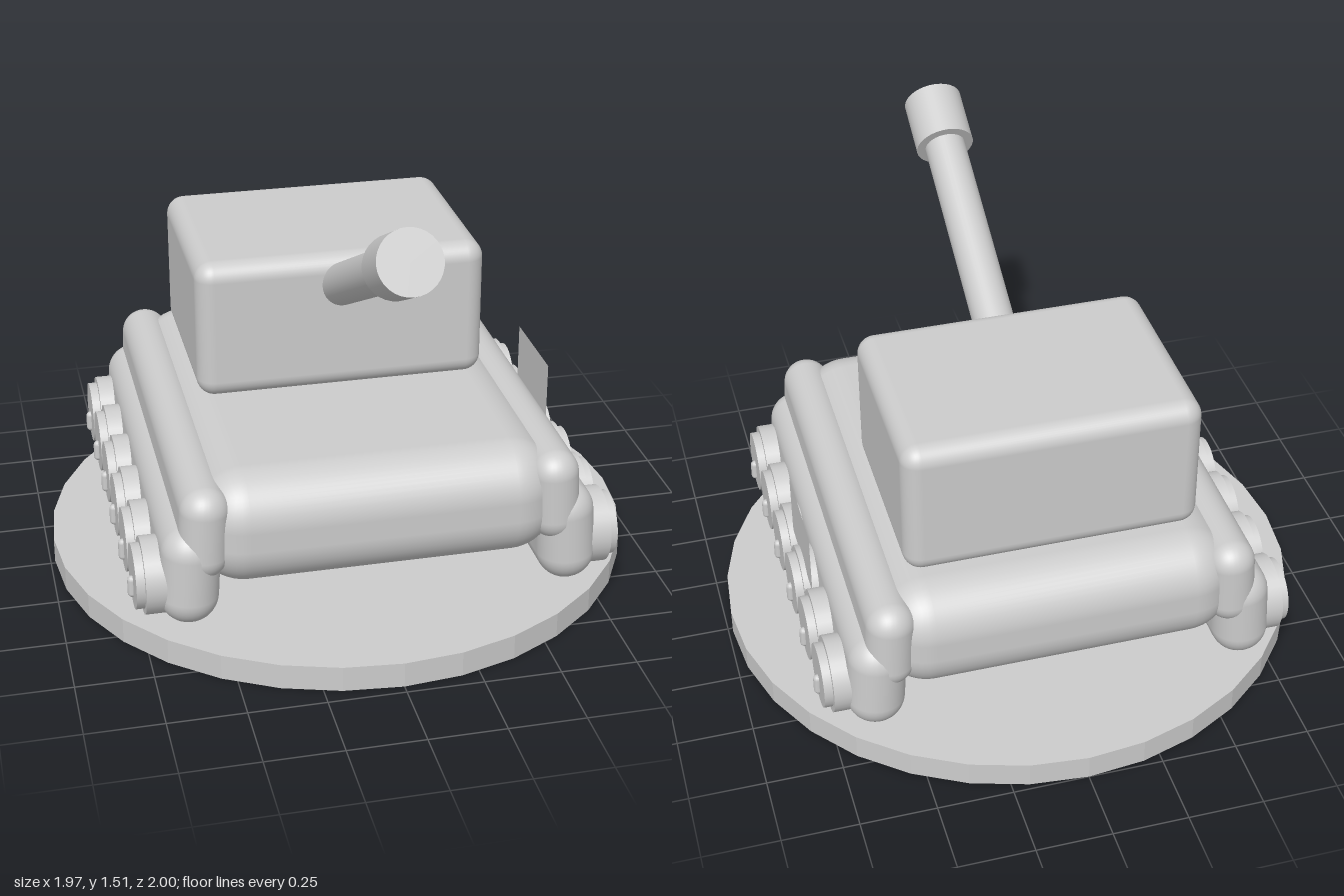
import * as THREE from 'three';
import { RoundedBoxGeometry } from 'three/addons/geometries/RoundedBoxGeometry.js';

export function createModel() {
  const model = new THREE.Group();
  model.name = 'tankOnStand';

  const grey = new THREE.MeshStandardMaterial({ color: 0xcccccc });
  grey.name = 'light grey';
  const greyFlat = new THREE.MeshStandardMaterial({ color: 0xcccccc, flatShading: true });
  greyFlat.name = 'light grey faceted';
  const greySheet = new THREE.MeshStandardMaterial({ color: 0xcccccc, side: THREE.DoubleSide });
  greySheet.name = 'light grey sheet';

  const add = (name, geometry, x, y, z, material = grey, parent = model) => {
    const mesh = new THREE.Mesh(geometry, material);
    mesh.name = name;
    mesh.position.set(x, y, z);
    parent.add(mesh);
    return mesh;
  };
  const midZ = -0.015;

  // Round stand
  add('stand', new THREE.CylinderGeometry(0.985, 0.985, 0.085, 32), 0, 0.0425, midZ, greyFlat);

  // Hull and turret
  add('hull', new RoundedBoxGeometry(1.18, 0.385, 1.495, 6, 0.16), 0, 0.4275, midZ);
  add('turret', new RoundedBoxGeometry(0.97, 0.475, 0.7, 5, 0.06), 0, 0.8525, -0.245);

  // Gun, raised and pointing forward
  const gun = new THREE.Group();
  gun.name = 'gun';
  gun.position.set(0, 0.967, 0.05);
  gun.rotation.x = Math.PI / 2 - 0.467;
  model.add(gun);
  add('barrel', new THREE.CylinderGeometry(0.07, 0.07, 0.9, 32), 0, 0.43, 0, grey, gun);
  add('muzzle', new THREE.CylinderGeometry(0.1, 0.1, 0.193, 32), 0, 0.917, 0, grey, gun);

  // Fenders, tracks and wheels on both sides
  const fenderGeo = new RoundedBoxGeometry(0.16, 0.31, 1.495, 5, 0.079);
  const trackGeo = new RoundedBoxGeometry(0.19, 0.34, 1.495, 5, 0.094);
  const wheelGeo = new THREE.CylinderGeometry(0.125, 0.125, 0.107, 32).rotateZ(Math.PI / 2);
  const capGeo = new THREE.CylinderGeometry(0.105, 0.105, 0.05, 32).rotateZ(Math.PI / 2);
  const boltGeo = new THREE.CapsuleGeometry(0.015, 0.045, 4, 12);

  for (const side of [1, -1]) {
    const label = side > 0 ? 'left' : 'right';
    add(label + 'Fender', fenderGeo, side * 0.567, 0.447, midZ).rotation.z = side * 0.05;
    add(label + 'Track', trackGeo, side * 0.613, 0.301, midZ).rotation.z = side * 0.06;
    for (let i = 0; i < 6; i++) {
      const z = 0.57 - i * 0.231;
      add(label + 'Wheel', wheelGeo, side * 0.7035, 0.265, z);
      add(label + 'WheelCap', capGeo, side * 0.76, 0.265, z);
      add(label + 'WheelBolt', boltGeo, side * 0.787, 0.228, z);
    }
  }

  // Thin plate standing on the left side only
  add('sidePlate', new THREE.PlaneGeometry(0.335, 0.225), 0.74, 0.4725, -0.1275, greySheet)
    .rotation.y = Math.PI / 2;

  return model;
}
